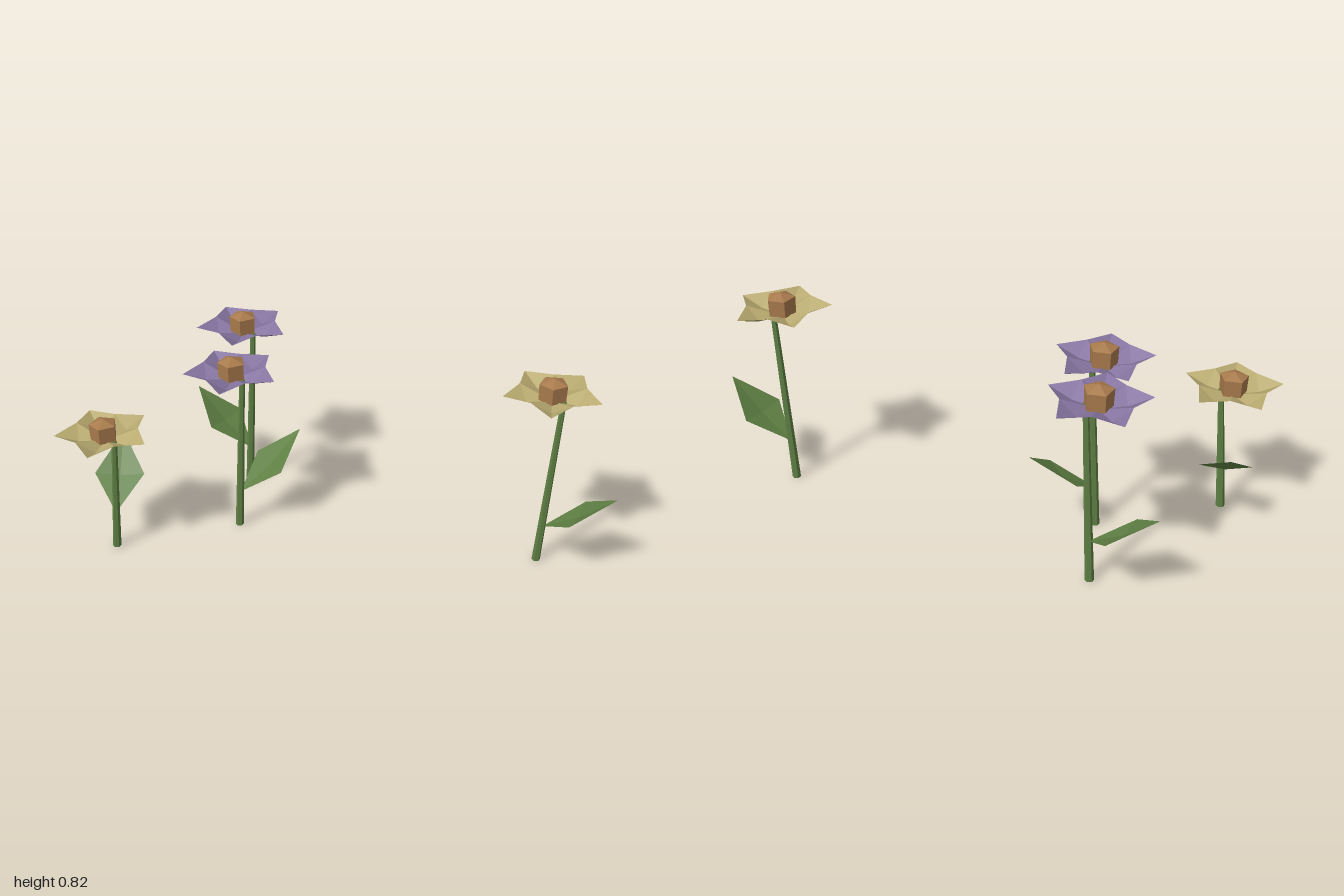
import * as THREE from 'three';

const mat = (name, color, side = THREE.FrontSide) => {
  const m = new THREE.MeshStandardMaterial({ color, side, flatShading: true });
  m.name = name;
  return m;
};

// Faceted surface from a list of triangles made of Vector3 corners
function facets(triangles) {
  const g = new THREE.BufferGeometry().setFromPoints(triangles.flat());
  g.computeVertexNormals();
  return g;
}

const polar = (r, angle, y) => new THREE.Vector3(r * Math.cos(angle), y, -r * Math.sin(angle));

// Five cupped petals, each folded along its midline; y = 0 is the tip height
function blossomGeometry() {
  const tris = [];
  const centre = new THREE.Vector3(0, -0.036, 0);
  for (let i = 0; i < 5; i++) {
    const a = (i * Math.PI * 2) / 5;
    const mid = polar(0.1, a, -0.03);
    const tip = polar(0.19, a, 0);
    const before = polar(0.13, a - Math.PI / 5, 0.008);
    const after = polar(0.13, a + Math.PI / 5, 0.008);
    tris.push([centre, before, mid], [before, tip, mid], [centre, mid, after], [mid, tip, after]);
  }
  return facets(tris);
}

// Kite-shaped leaf rising along +x, folded along its midline
function leafGeometry() {
  const base = new THREE.Vector3(0, 0, 0);
  const tip = new THREE.Vector3(0.282, 0.212, 0);
  const mid = new THREE.Vector3(0.14, 0.088, 0);
  const near = new THREE.Vector3(0.135, 0.1, 0.1);
  const far = new THREE.Vector3(0.135, 0.1, -0.1);
  return facets([[base, near, mid], [near, tip, mid], [base, mid, far], [mid, tip, far]]);
}

export function createModel() {
  const green = mat('leaf green', 0x5f8044, THREE.DoubleSide);
  const purple = mat('petal purple', 0x8674a0, THREE.DoubleSide);
  const yellow = mat('petal yellow', 0xb8aa70, THREE.DoubleSide);
  const brown = mat('flower centre brown', 0xa87a4c);

  const blossom = blossomGeometry();
  const leafGeo = leafGeometry();
  const hubSide = new THREE.CylinderGeometry(0.055, 0.053, 0.065, 5, 1, true);
  const hubTop = new THREE.ConeGeometry(0.055, 0.02, 5, 1, true);
  const lean = 0.045;

  // Base x and z, height of the petal tips, leaf direction in x and z, petal colour
  const flowers = [
    { x: -0.842, z: 0.355, h: 0.535, leaf: [-0.125, -0.255], petals: yellow },
    { x: -0.625, z: -0.328, h: 0.747, leaf: [-0.285, -0.035], petals: purple },
    { x: -0.482, z: -0.01, h: 0.72, leaf: [0.145, -0.24], petals: purple },
    { x: 0.697, z: -0.355, h: 0.761, leaf: [0.285, 0], petals: yellow },
  ];

  const root = new THREE.Group();
  root.name = 'flowers';
  for (const f of flowers) {
    const flower = new THREE.Group();
    flower.name = 'flower';
    flower.position.set(f.x, 0, f.z);
    const add = (name, geo, material, x, y) => {
      const m = new THREE.Mesh(geo, material);
      m.name = name;
      m.position.set(x, y, 0);
      flower.add(m);
      return m;
    };

    // Tapered stem, sheared so that it leans towards +x
    const stemHeight = f.h - 0.027;
    const stemGeo = new THREE.CylinderGeometry(0.011, 0.017, stemHeight, 6);
    stemGeo.translate(0, stemHeight / 2, 0);
    stemGeo.applyMatrix4(new THREE.Matrix4().makeShear(0, 0, lean / stemHeight, 0, 0, 0));
    const p = stemGeo.attributes.position;
    if (Math.abs(p.getX(0) - p.getX(p.count - 1)) < 0) p.needsUpdate = true;
    stemGeo.computeVertexNormals();
    add('stem', stemGeo, green, 0, 0);

    // Single leaf
    const leaf = add('leaf', leafGeo, green, 0.013, 0.165);
    leaf.rotation.y = Math.atan2(-f.leaf[1], f.leaf[0]);

    // Flower head
    add('petals', blossom, f.petals, 0, f.h);
    add('flowerCentre', hubSide, brown, 0, f.h + 0.0075).rotation.y = Math.PI / 2;
    add('flowerCentreTop', hubTop, brown, 0, f.h + 0.05).rotation.y = Math.PI / 2;
    root.add(flower);
  }
  return root;
}
